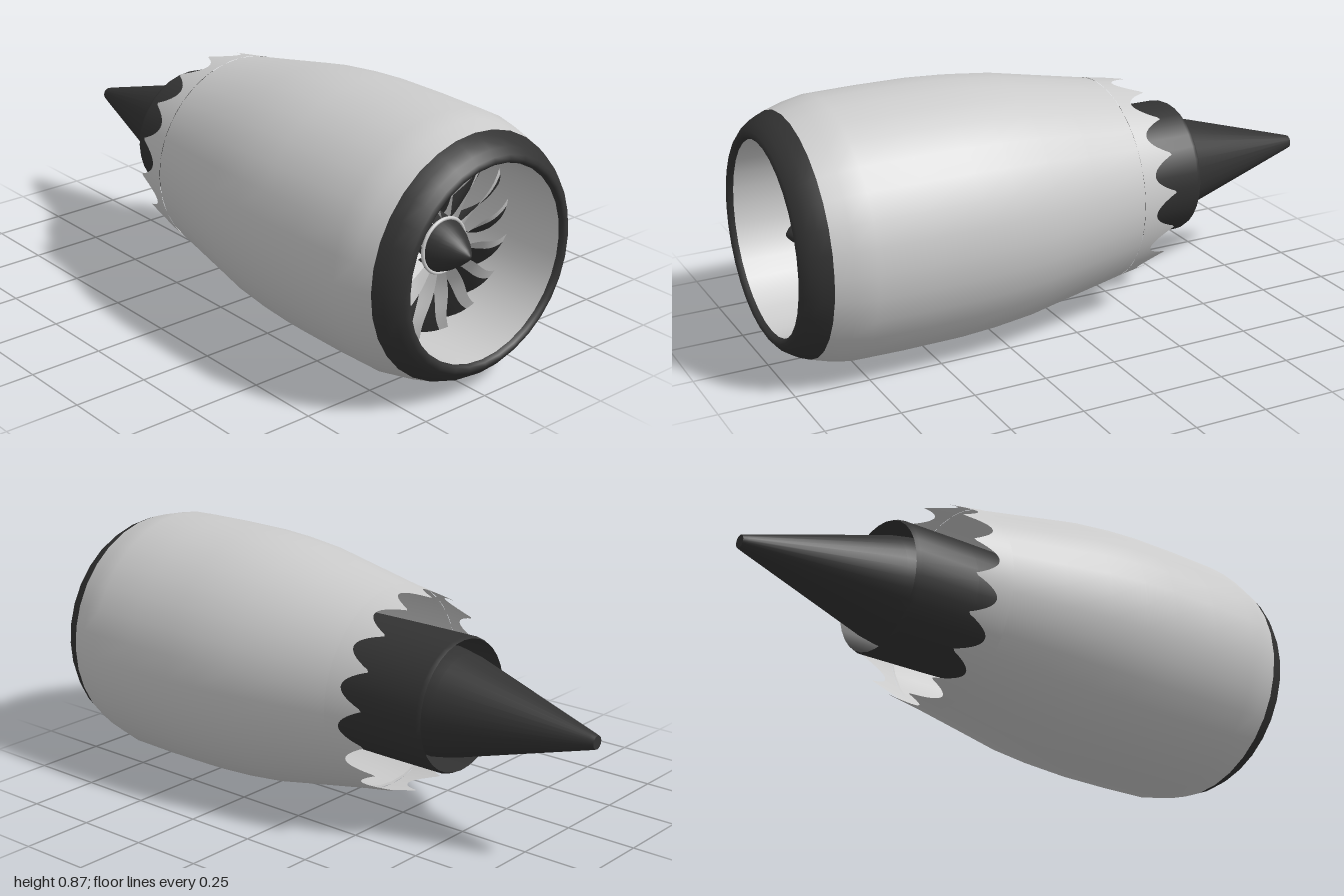
import * as THREE from 'three';

const grey = new THREE.MeshStandardMaterial({ color: 0xcccccc, side: THREE.DoubleSide });
const dark = new THREE.MeshStandardMaterial({ color: 0x333333, side: THREE.DoubleSide });
const SIDES = 32, BLADES = 16, TEETH = 16, DEG = Math.PI / 180;
const { lerp } = THREE.MathUtils;

// Surface of revolution around z from [radius, z] pairs
function revolve(name, profile, material, sides = SIDES) {
  const points = profile.map(([r, z]) => new THREE.Vector2(r, z));
  const mesh = new THREE.Mesh(new THREE.LatheGeometry(points, sides).rotateX(Math.PI / 2), material);
  mesh.name = name;
  return mesh;
}

// Grid whose vertices are placed by a rule of u and v in 0..1
function sheet(nu, nv, rule) {
  const geo = new THREE.PlaneGeometry(1, 1, nu, nv);
  const pos = geo.attributes.position;
  for (let i = 0; i < pos.count; i++) {
    pos.setXYZ(i, ...rule(pos.getX(i) + 0.5, pos.getY(i) + 0.5));
  }
  geo.computeVertexNormals();
  return geo;
}

// Scalloped exhaust edge: wide round valleys between narrow tips
function chevronEdge() {
  const geo = sheet(TEETH * 16, 3, (u, v) => {
    const a = u * 2 * Math.PI;
    const wave = Math.abs(Math.sin((a + 6.1 * DEG) * TEETH / 2));
    const end = -0.25 - 0.09 * (1 - Math.pow(wave, 0.9));
    const z = lerp(-0.2, end, v);
    const r = 0.347 + (z + 0.2) * 0.157;
    return [r * Math.sin(a), r * Math.cos(a), z];
  });
  const mesh = new THREE.Mesh(geo, grey);
  mesh.name = 'chevronEdge';
  return mesh;
}

// Twisted fan blade; s0 and s1 give the chord range at height t
function bladeGeometry(nu, s0, s1) {
  return sheet(nu, 14, (u, t) => {
    const r = lerp(0.088, 0.317, t);
    const s = lerp(s0(t), s1(t), u);
    const stagger = lerp(14, 60, Math.pow(t, 0.9)) * DEG;
    const chord = lerp(0.12, 0.146, t);
    const lead = (4 * (1 - t) - 1.5 * Math.sin(2 * Math.PI * t)) * DEG;
    const camber = 0.012 * Math.sin(Math.PI * s);
    const a = lead + (s * chord * Math.sin(stagger) + camber * Math.cos(stagger)) / r;
    const z = 0.8 - 0.03 * t * t - s * chord * Math.cos(stagger) + camber * Math.sin(stagger);
    return [r * Math.sin(a), r * Math.cos(a), z];
  });
}

function fan() {
  const group = new THREE.Group();
  group.name = 'fan';
  const split = t => lerp(0.5, 0.21, Math.sqrt(t));
  const edgeGeo = bladeGeometry(3, () => 0, split);
  const bodyGeo = bladeGeometry(6, split, () => 1);
  for (let i = 0; i < BLADES; i++) {
    const blade = new THREE.Group();
    blade.name = 'fanBlade';
    const edge = new THREE.Mesh(edgeGeo, grey);
    edge.name = 'bladeLeadingEdge';
    const body = new THREE.Mesh(bodyGeo, dark);
    body.name = 'bladeBody';
    blade.add(edge, body);
    blade.rotation.z = -(11 * DEG + i * 2 * Math.PI / BLADES);
    group.add(blade);
  }
  const ring = new THREE.Mesh(new THREE.TorusGeometry(0.089, 0.006, 8, 48), grey);
  ring.name = 'hubRing';
  ring.position.z = 0.8;
  group.add(
    ring,
    revolve('spinner', [[0.086, 0.8], [0.07, 0.835], [0.045, 0.872], [0.02, 0.902], [0.007, 0.913], [0, 0.915]], dark),
    revolve('hub', [[0.115, 0.5], [0.1, 0.66], [0.088, 0.8]], dark)
  );
  return group;
}

// Ring of small compressor vanes in slatted clusters
function compressorVanes() {
  const group = new THREE.Group();
  group.name = 'compressorVanes';
  const slat = new THREE.BoxGeometry(0.004, 0.075, 0.06).translate(0, 0.158, 0);
  const band = new THREE.BoxGeometry(0.036, 0.008, 0.07);
  for (let i = 0; i < BLADES; i++) {
    const cluster = new THREE.Group();
    cluster.name = 'vaneCluster';
    for (let k = -2; k <= 2; k++) {
      const m = new THREE.Mesh(slat, grey);
      m.name = 'vane';
      m.rotation.z = k * 2.6 * DEG;
      cluster.add(m);
    }
    for (const r of [0.135, 0.19]) {
      const m = new THREE.Mesh(band, grey);
      m.name = 'vaneBand';
      m.position.y = r;
      cluster.add(m);
    }
    cluster.position.z = 0.45;
    cluster.rotation.z = -(5 * DEG + i * 2 * Math.PI / BLADES);
    group.add(cluster);
  }
  return group;
}

export function createModel() {
  const engine = new THREE.Group();
  engine.name = 'jetEngine';
  engine.position.y = 0.44;

  // Nacelle: outer skin, scalloped rear edge, dark intake lip and inner duct
  engine.add(
    revolve('nacelleSkin', [[0.347, -0.2], [0.384, 0], [0.414, 0.16], [0.429, 0.3], [0.436, 0.42],
      [0.437, 0.6], [0.434, 0.78], [0.42, 0.85], [0.402, 0.91]], grey),
    chevronEdge(),
    revolve('intakeLip', [[0.402, 0.91], [0.388, 0.945], [0.368, 0.975], [0.348, 0.993], [0.335, 1],
      [0.325, 0.994], [0.32, 0.98]], dark),
    revolve('intakeDuct', [[0.32, 0.98], [0.318, 0.9], [0.32, 0.7], [0.328, 0.4], [0.335, 0.1], [0.34, -0.1], [0.338, -0.2]], grey)
  );

  // Fan and compressor
  engine.add(fan(), compressorVanes());
  engine.add(revolve('shaft', [[0.17, -0.3], [0.13, 0.1], [0.115, 0.5]], dark));

  // Core cowl, open at the rear around the tail cone
  engine.add(
    revolve('coreCowl', [[0.222, -0.49], [0.228, -0.475], [0.228, -0.25], [0.226, 0], [0.215, 0.25], [0.198, 0.45]], dark),
    revolve('coreInnerWall', [[0.198, 0.45], [0.21, 0.2], [0.218, -0.1], [0.222, -0.49]], dark),
    revolve('tailCone', [[0.022, -1], [0.027, -0.985], [0.172, -0.49], [0.185, -0.42], [0.18, -0.34], [0.17, -0.3]], dark),
    revolve('tailCap', [[0, -1], [0.022, -1]], dark)
  );

  const model = new THREE.Group();
  model.add(engine);
  return model;
}
